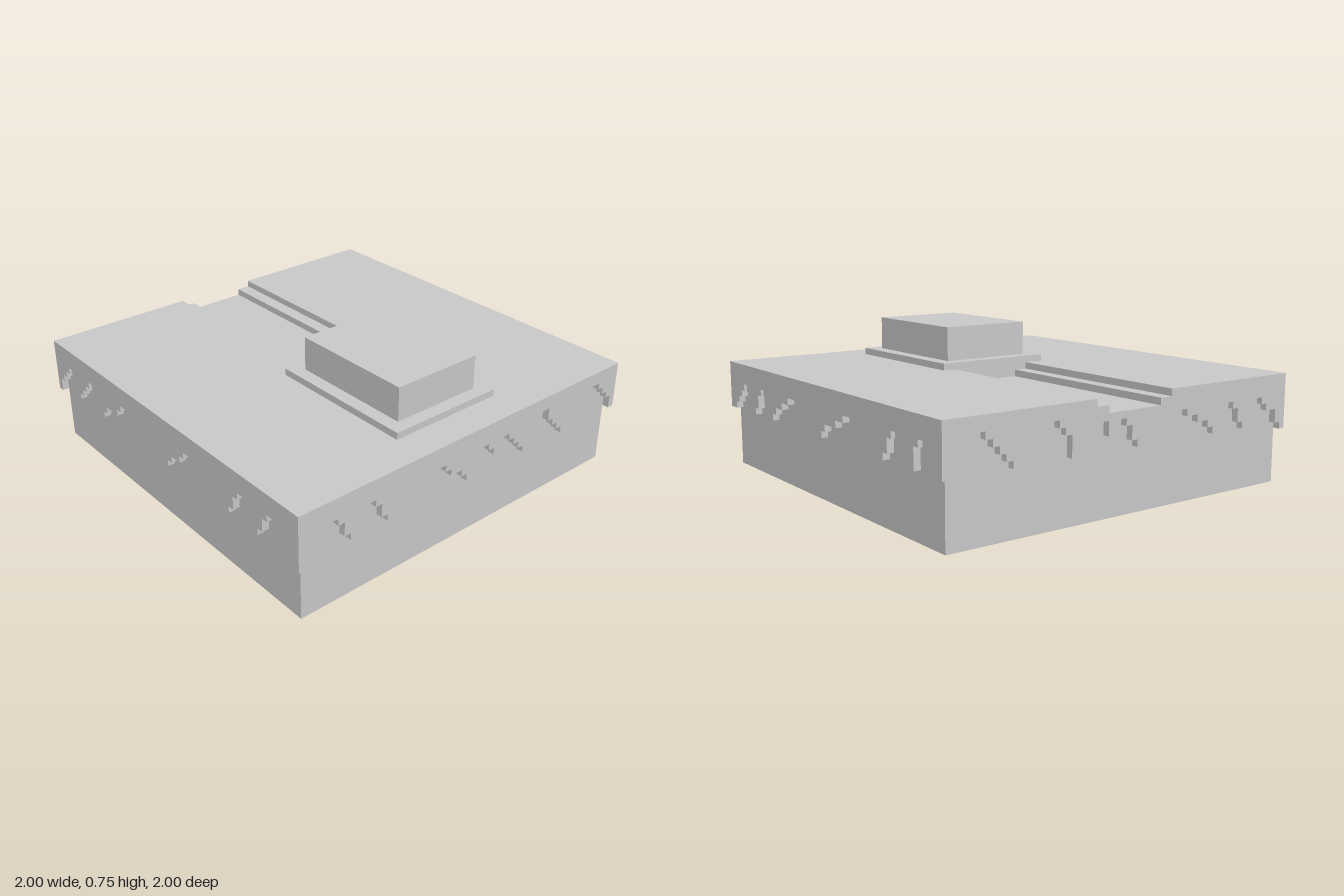
import * as THREE from 'three';

const N = 59;          // blocks per side
const V = 2 / N;       // size of one block
const TOP = 16;        // lawn level, in blocks
const FLOOR = 14;      // path level, in blocks

// Depth of the hanging turf below the lawn, one digit per column
const ALONG_X = '87554346764346' + '7655443333455676' + '4345' + '33456743' + '22456776543' + '223457';
const ALONG_Z = '77654346764346' + '7655443333455677' + '655544' + '3333' + '455567' + '64345' + '67434567';

const material = new THREE.MeshStandardMaterial({ color: 0xcccccc, flatShading: true });

function add(group, name, geometry) {
  const mesh = new THREE.Mesh(geometry, material);
  mesh.name = name;
  group.add(mesh);
  return mesh;
}

// Box between two corners given in blocks; x and z count from -1
function block(group, name, [x0, y0, z0], [x1, y1, z1]) {
  const mesh = add(group, name, new THREE.BoxGeometry((x1 - x0) * V, (y1 - y0) * V, (z1 - z0) * V));
  mesh.position.set((x0 + x1) / 2 * V - 1, (y0 + y1) / 2 * V, (z0 + z1) / 2 * V - 1);
  return mesh;
}

const shapeOf = (points) => new THREE.Shape(points.map(([c, y]) => new THREE.Vector2(c * V - 1, y * V)));
const extrude = (shapes, depth) => new THREE.ExtrudeGeometry(shapes, { depth: depth * V, bevelEnabled: false });

// Stepped fringe one block thick, split wherever the turf does not hang below the path level
function fringe(depths, first, last) {
  const shapes = [];
  let points = [];
  const close = (column) => {
    if (points.length) shapes.push(shapeOf([...points, [column, FLOOR]]));
    points = [];
  };
  for (let i = first; i <= last; i++) {
    const y = TOP - Number(depths[i]);
    if (y >= FLOOR) { close(i); continue; }
    if (!points.length) points.push([i, FLOOR], [i, y]);
    else if (points[points.length - 1][1] !== y) points.push([i, points[points.length - 1][1]], [i, y]);
    if (i === last || TOP - Number(depths[i + 1]) !== y) points.push([i + 1, y]);
    // drop the repeated corner left by the previous step
    points = points.filter((p, k) => k === 0 || p[0] !== points[k - 1][0] || p[1] !== points[k - 1][1]);
  }
  close(last + 1);
  return extrude(shapes, 1);
}

export function createModel() {
  const model = new THREE.Group();
  model.name = 'terrainTile';

  // Soil, whose top is also the path floor
  block(model, 'soil', [1, 0, 1], [N - 1, FLOOR, N - 1]);

  // Lawn: full width at the front, two stepped banks beside the path at the back
  const pathEnd = 31;
  block(model, 'frontLawn', [0, FLOOR, pathEnd], [N, TOP, N]);
  const bank = [[0, FLOOR], [25, FLOOR], [25, FLOOR + 1], [23, FLOOR + 1], [23, TOP], [0, TOP]];
  const mirrored = bank.map(([c, y]) => [N - c, y]).reverse();
  add(model, 'rightBank', extrude(shapeOf(bank), pathEnd)).position.z = -1;
  add(model, 'leftBank', extrude(shapeOf(mirrored), pathEnd)).position.z = -1;

  // Hanging turf on all four sides
  const edge = 1 - V;
  const frontBack = fringe(ALONG_X, 0, N - 1);
  const sides = fringe(ALONG_Z, 1, N - 2).rotateY(Math.PI / 2);
  add(model, 'frontFringe', frontBack).position.z = edge;
  add(model, 'backFringe', frontBack).position.z = -1;
  add(model, 'leftFringe', sides).position.x = edge;
  add(model, 'rightFringe', sides).position.x = -1;

  // Plinth and the block standing on it
  block(model, 'plinth', [20, TOP, 31], [38, TOP + 1, 54]);
  block(model, 'upperBlock', [22, TOP + 1, 33], [36, TOP + 6, 52]);

  return model;
}
